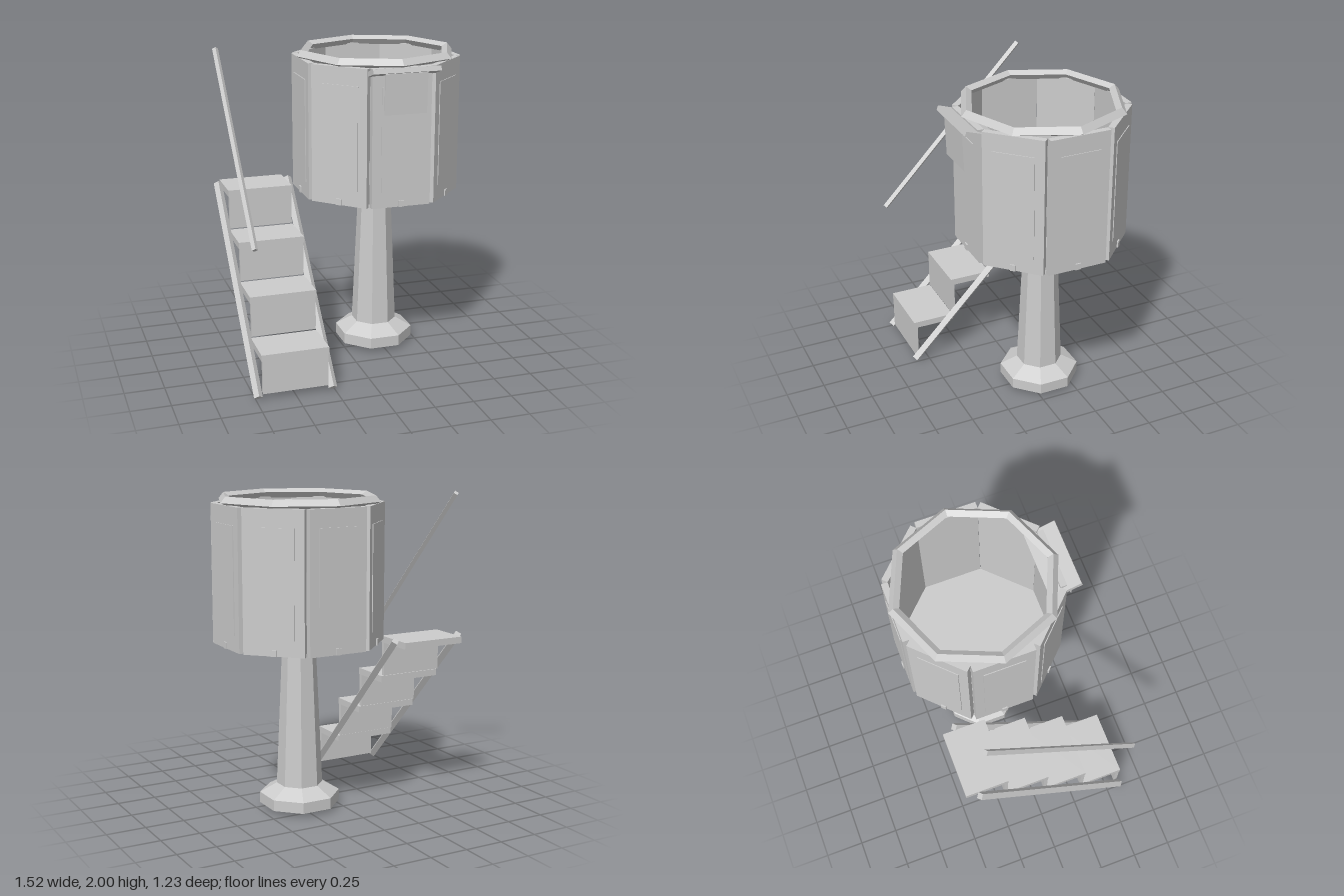
import * as THREE from 'three';

const grey = new THREE.MeshStandardMaterial({ color: 0xcccccc, flatShading: true });
grey.name = 'plain grey';

const FLAT = 1 / Math.cos(Math.PI / 8); // apothem to corner radius of an octagon

export function createModel() {
  const model = new THREE.Group();
  model.name = 'towerWithStairs';

  const add = (parent, name, geometry, x = 0, y = 0, z = 0) => {
    const mesh = new THREE.Mesh(geometry, grey);
    mesh.name = name;
    mesh.position.set(x, y, z);
    parent.add(mesh);
    return mesh;
  };
  const box = (parent, name, w, h, d, x, y, z) =>
    add(parent, name, new THREE.BoxGeometry(w, h, d), x, y, z);
  // Eight-sided turned part with its flat sides facing the axes
  const octagon = (parent, name, profile) =>
    add(parent, name, new THREE.LatheGeometry(
      profile.map(([r, y]) => new THREE.Vector2(r * FLAT, y)), 8, Math.PI / 8));

  const tower = new THREE.Group();
  tower.name = 'tower';
  tower.position.set(0.235, 0, -0.095);
  model.add(tower);

  // Pedestal: foot, tapered column and flared capital
  octagon(tower, 'foot', [[0, 0.03], [0.235, 0.03], [0.235, 0.1], [0.135, 0.16], [0, 0.16]]);
  octagon(tower, 'column', [[0.135, 0.16], [0.1, 1.01]]);
  octagon(tower, 'capital', [[0, 1.01], [0.115, 1.01], [0.19, 1.09]]);

  // Open-topped cabin
  octagon(tower, 'cabinFloor', [[0, 1.085], [0.47, 1.085], [0.47, 1.105], [0, 1.105]]);
  for (let i = 0; i < 8; i++) {
    const side = new THREE.Group();
    side.name = 'cabinSide';
    side.rotation.y = i * Math.PI / 4;
    tower.add(side);
    box(side, 'wallPanel', 0.38, 0.865, 0.04, 0, 1.5175, 0.48);
    box(side, 'raisedPanel', 0.26, 0.655, 0.006, 0, 1.5125, 0.502);
    box(side, 'bottomTab', 0.035, 0.04, 0.012, 0, 1.105, 0.503);
  }

  // Rim with a tilted square section, its corners on the axes
  const rim = [[0.48, 1.942], [0.52, 1.962], [0.488, 2], [0.452, 1.978], [0.48, 1.942]];
  add(tower, 'rim', new THREE.LatheGeometry(rim.map(([r, y]) => new THREE.Vector2(r, y)), 8));

  // Awning over the front with a hanging board
  const awning = box(tower, 'awning', 0.43, 0.03, 0.2, 0, 1.92, 0.488);
  awning.rotation.x = -0.31;
  const board = box(tower, 'hangingBoard', 0.27, 0.25, 0.006, 0, 1.805, 0.565);
  board.rotation.x = 0.04;

  // Staircase
  const stairs = new THREE.Group();
  stairs.name = 'staircase';
  model.add(stairs);
  const tops = [0.29, 0.56, 0.825, 1.09];
  tops.forEach((top, i) => {
    const front = 0.587 - i * 0.275;
    const low = i ? tops[i - 1] + 0.008 : 0.035;
    const high = top - 0.04;
    box(stairs, 'tread', 0.425, 0.042, 0.278, -0.4975, top - 0.021, front - 0.139);
    box(stairs, 'riser', 0.415, high - low, 0.025, -0.4975, (low + high) / 2, front - 0.0125);
  });

  // Square bar set on edge, running between two points
  const bar = (name, x, r, [y0, z0], [y1, z1]) => {
    const a = new THREE.Vector3(x, y0, z0);
    const b = new THREE.Vector3(x, y1, z1);
    const mesh = add(stairs, name, new THREE.CylinderGeometry(r, r, a.distanceTo(b), 4));
    mesh.position.lerpVectors(a, b, 0.5);
    mesh.rotation.x = Math.atan2(z1 - z0, y1 - y0);
  };
  for (const x of [-0.737, -0.265]) bar('stringer', x, 0.0275, [0.02, 0.595], [1.09, -0.435]);
  bar('handrail', -0.737, 0.019, [0.965, 0.595], [1.987, -0.385]);

  return model;
}
